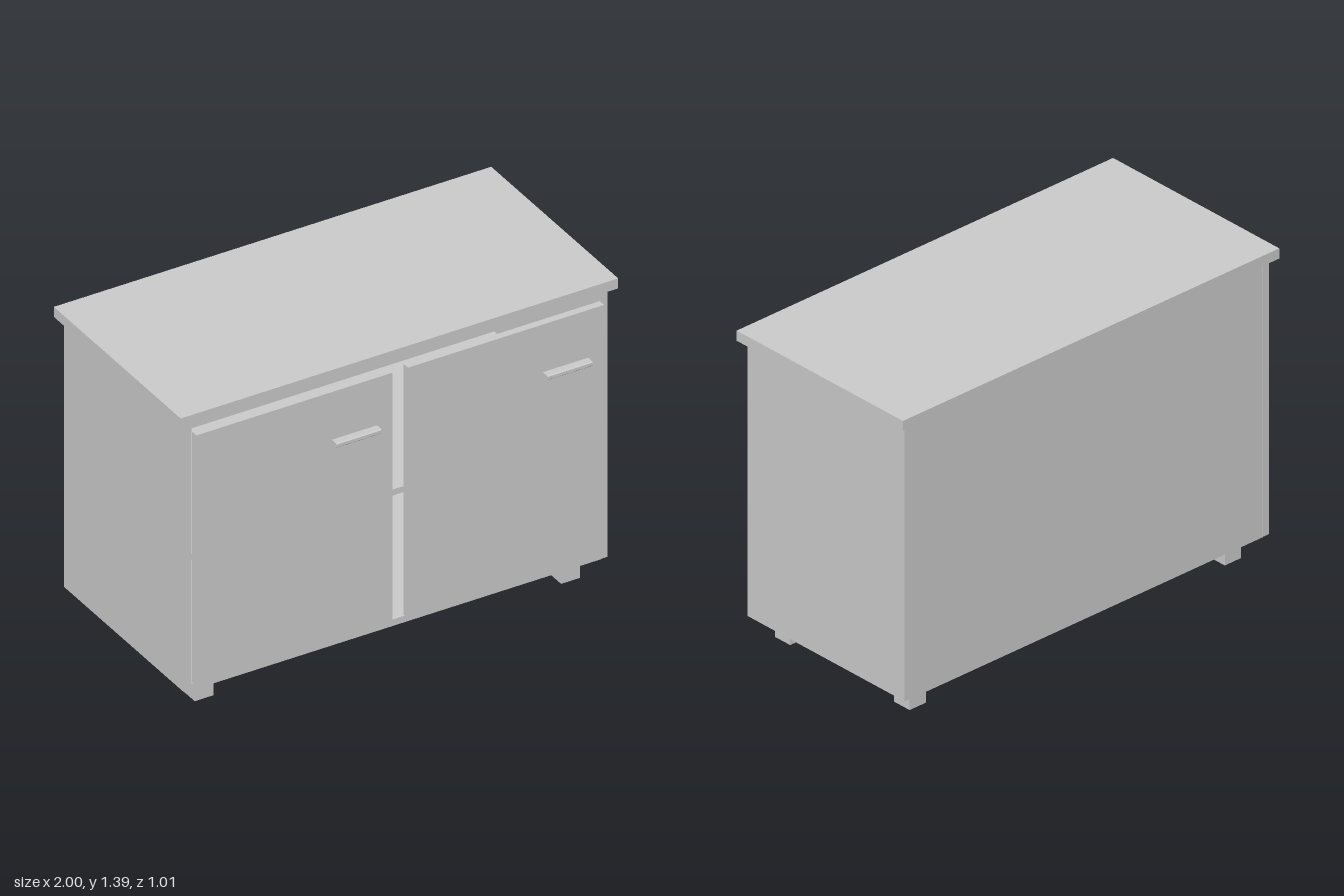
import * as THREE from 'three';

const material = new THREE.MeshStandardMaterial({ color: 0xcccccc });

// Box given by its min and max on each axis
function addBox(parent, name, [x0, x1], [y0, y1], [z0, z1]) {
  const mesh = new THREE.Mesh(new THREE.BoxGeometry(x1 - x0, y1 - y0, z1 - z0), material);
  mesh.position.set((x0 + x1) / 2, (y0 + y1) / 2, (z0 + z1) / 2);
  mesh.name = name;
  parent.add(mesh);
}

// Bar with small chamfers along its edges, lying along x
function addHandle(parent, name, [x0, x1], [y0, y1], [z0, z1]) {
  const b = 0.004;
  const shape = new THREE.Shape();
  [[z0, y0], [z1 - b, y0], [z1, y0 + b], [z1, y1 - b], [z1 - b, y1], [z0, y1]]
    .forEach(([z, y], i) => (i ? shape.lineTo(-z, y) : shape.moveTo(-z, y)));
  const geometry = new THREE.ExtrudeGeometry(shape, { depth: x1 - x0, bevelEnabled: false });
  geometry.rotateY(Math.PI / 2);
  const mesh = new THREE.Mesh(geometry, material);
  mesh.position.x = x0;
  mesh.name = name;
  parent.add(mesh);
}

export function createModel() {
  const cabinet = new THREE.Group();
  cabinet.name = 'cabinet';

  // Carcass
  addBox(cabinet, 'worktop', [-1, 1], [1.346, 1.392], [-0.502, 0.46]);
  addBox(cabinet, 'leftSide', [0.934, 0.968], [0.102, 1.346], [-0.476, 0.432]);
  addBox(cabinet, 'rightSide', [-0.968, -0.934], [0.102, 1.346], [-0.476, 0.432]);
  addBox(cabinet, 'backPanel', [-0.934, 0.934], [0.102, 1.346], [-0.475, -0.45]);
  addBox(cabinet, 'bottomPanel', [-0.945, 0.945], [0.095, 0.125], [-0.469, 0.425]);
  addBox(cabinet, 'shelf', [-0.936, 0.936], [0.697, 0.725], [-0.45, 0.425]);
  addBox(cabinet, 'topPanel', [-0.934, 0.934], [1.305, 1.337], [-0.45, 0.425]);

  // Doors, each with its handle
  const doors = [
    ['rightDoor', [-0.934, -0.037], [-0.315, -0.108]],
    ['leftDoor', [0.033, 0.93], [0.65, 0.857]],
  ];
  for (const [name, doorX, handleX] of doors) {
    const door = new THREE.Group();
    door.name = name;
    addBox(door, name + 'Panel', doorX, [0.14, 1.297], [0.436, 0.469]);
    addHandle(door, name + 'Handle', handleX, [1.056, 1.077], [0.469, 0.504]);
    cabinet.add(door);
  }

  // Feet
  for (const [side, x0] of [['Right', -0.882], ['Left', 0.793]]) {
    for (const [end, z0] of [['front', 0.281], ['back', -0.41]]) {
      addBox(cabinet, end + side + 'Foot', [x0, x0 + 0.087], [0, 0.097], [z0, z0 + 0.089]);
    }
  }
  return cabinet;
}
